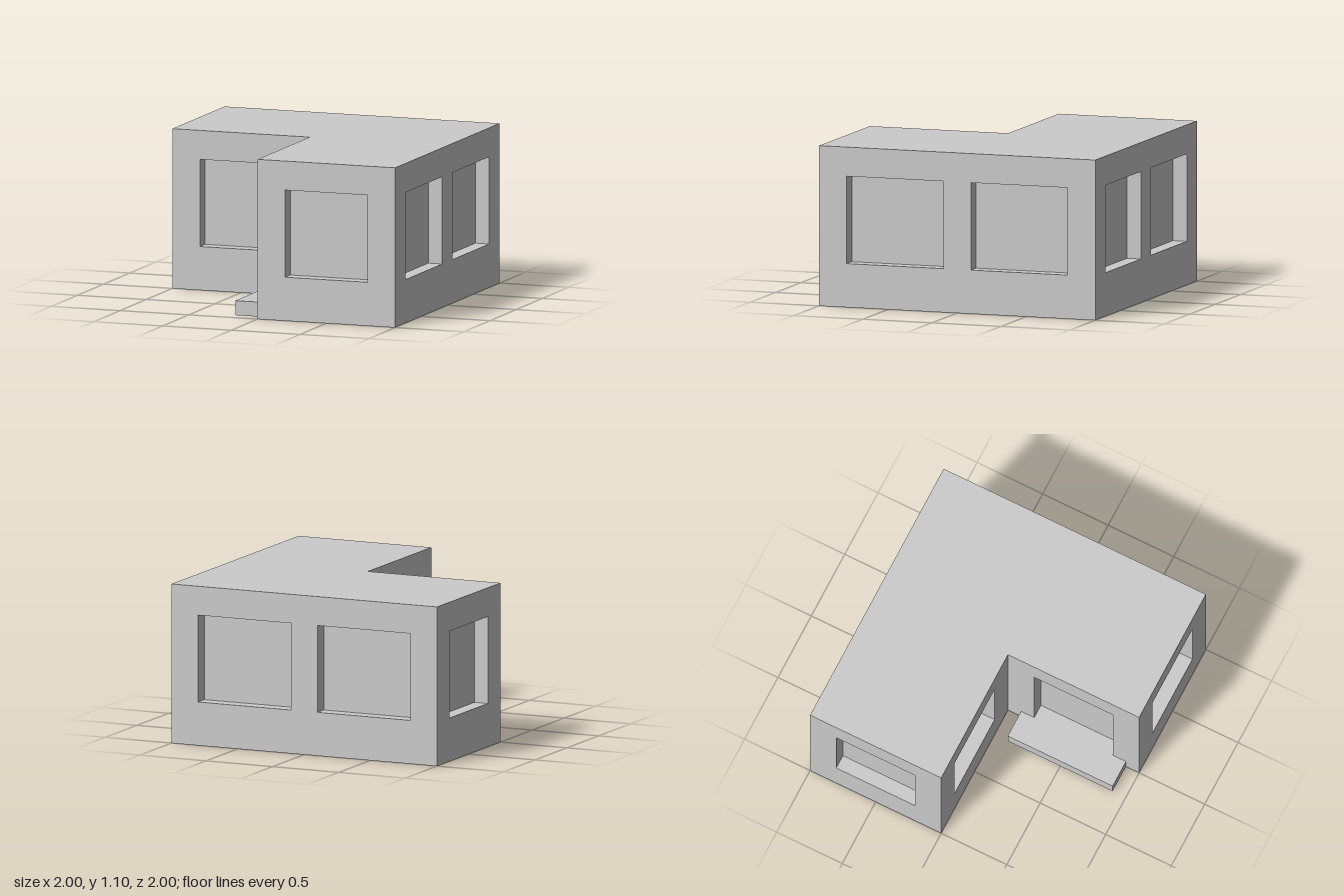
import * as THREE from 'three';

const HEIGHT = 1.1, RECESS = 0.1;
const material = new THREE.MeshStandardMaterial({ color: 0xcccccc });

// L-shaped plan as [x, z] corners
const PLAN = [[-1, -1], [1, -1], [1, 1], [0, 1], [0, 0], [-1, 0]];

function addMesh(parent, name, geometry) {
  const mesh = new THREE.Mesh(geometry, material);
  mesh.name = name;
  parent.add(mesh);
  return mesh;
}

// Box seen from inside with its front left open: the reveals and the pane
function recessGeometry(width, height) {
  const geometry = new THREE.BoxGeometry(width, height, RECESS);
  const index = Array.from(geometry.index.array);
  index.splice(24, 6); // remove the +z side
  geometry.setIndex(index.reverse());
  geometry.clearGroups();
  geometry.computeVertexNormals();
  return geometry;
}

// Wall facing local +z, with openings given as { name, u, width, sill, top }
function makeWall(name, length, openings) {
  const wall = new THREE.Group();
  wall.name = name;
  const h = length / 2;
  const shape = new THREE.Shape([[-h, 0], [h, 0], [h, HEIGHT], [-h, HEIGHT]]
    .map(([x, y]) => new THREE.Vector2(x, y)));
  for (const { name: label, u, width, sill, top } of openings) {
    const a = u - width / 2, b = u + width / 2;
    shape.holes.push(new THREE.Path([[a, sill], [a, top], [b, top], [b, sill]]
      .map(([x, y]) => new THREE.Vector2(x, y))));
    addMesh(wall, label, recessGeometry(width, top - sill))
      .position.set(u, (sill + top) / 2, -RECESS / 2);
  }
  addMesh(wall, name + 'Face', new THREE.ShapeGeometry(shape));
  return wall;
}

// Flat L-shaped slab; zSign -1 lays it facing up, +1 facing down
function planGeometry(zSign) {
  const shape = new THREE.Shape(PLAN.map(([x, z]) => new THREE.Vector2(x, zSign * z)));
  return new THREE.ShapeGeometry(shape).rotateX(zSign * Math.PI / 2);
}

export function createModel() {
  const model = new THREE.Group();
  model.name = 'house';

  const opening = (name, u, width, sill = 0.3) => ({ name, u, width, sill, top: 0.9 });
  const single = [opening('window', 0, 0.6)];
  const pair = [-0.45, 0.45].map((u) => opening('window', u, 0.7));
  const door = [opening('doorway', 0, 0.6, 0.1)];

  // name, length, centre x, centre z, quarter turns about y, openings
  const walls = [
    ['frontWall', 1, 0.5, 1, 0, single],
    ['leftWall', 2, 1, 0, 1, pair],
    ['backWall', 2, 0, -1, 2, pair],
    ['rightWall', 1, -1, -0.5, 3, single],
    ['courtWindowWall', 1, -0.5, 0, 0, single],
    ['courtDoorWall', 1, 0, 0.5, 3, door],
  ];
  for (const [name, length, x, z, turns, openings] of walls) {
    const wall = makeWall(name, length, openings);
    wall.position.set(x, 0, z);
    wall.rotation.y = turns * Math.PI / 2;
    model.add(wall);
  }

  // Roof and underside
  addMesh(model, 'roof', planGeometry(-1)).position.y = HEIGHT;
  addMesh(model, 'floor', planGeometry(1));

  // Step in front of the doorway
  addMesh(model, 'doorStep', new THREE.BoxGeometry(0.2, 0.1, 0.8)).position.set(-0.1, 0.05, 0.5);

  return model;
}
